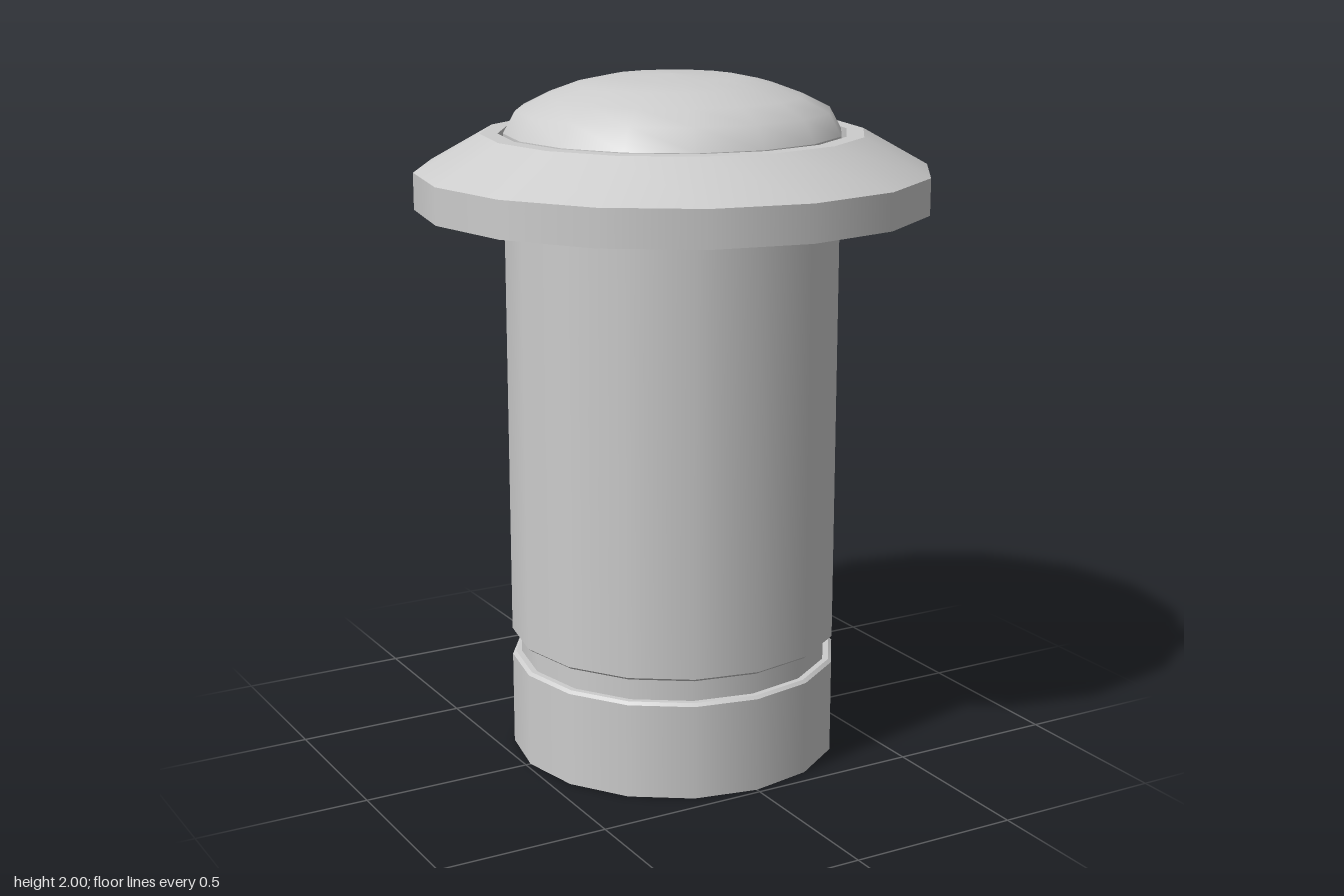
import * as THREE from 'three';
import { mergeGeometries } from 'three/addons/utils/BufferGeometryUtils.js';

const SIDES = 16;

// Revolve one smooth run of [radius, height] points, listed from bottom to top
function revolve(points) {
  return new THREE.LatheGeometry(points.map(([r, y]) => new THREE.Vector2(r, y)), SIDES);
}

// Revolve each profile segment on its own, so edges between bands stay sharp
function sharpRevolve(points) {
  return mergeGeometries(points.slice(1).map((p, i) => revolve([points[i], p])));
}

export function createModel() {
  const metal = new THREE.MeshStandardMaterial({ color: 0xcccccc });
  metal.name = 'light grey metal';

  const model = new THREE.Group();
  model.name = 'flangedPin';
  const add = (name, geometry) => {
    const mesh = new THREE.Mesh(geometry, metal);
    mesh.name = name;
    model.add(mesh);
  };

  // Shaft with a closed foot and a narrow groove near the bottom
  add('shaft', sharpRevolve([
    [0, 0], [0.485, 0], [0.485, 0.278], [0.475, 0.286], [0.458, 0.286],
    [0.458, 0.352], [0.475, 0.352], [0.485, 0.36], [0.485, 1.625],
  ]));

  // Wide collar: flat underside, upright edge, sloped top and a recessed seat
  add('collar', sharpRevolve([
    [0.485, 1.625], [0.74, 1.625], [0.74, 1.73], [0.55, 1.837],
    [0.5, 1.837], [0.5, 1.79], [0.485, 1.79],
  ]));

  // Rounded cap, seated in the collar with a thin gap around it
  add('capEdge', revolve([[0.485, 1.79], [0.485, 1.837]]));
  add('cap', revolve([
    [0.485, 1.837], [0.45, 1.9], [0.37, 1.94], [0.28, 1.973], [0.19, 1.992], [0, 2],
  ]));

  return model;
}
